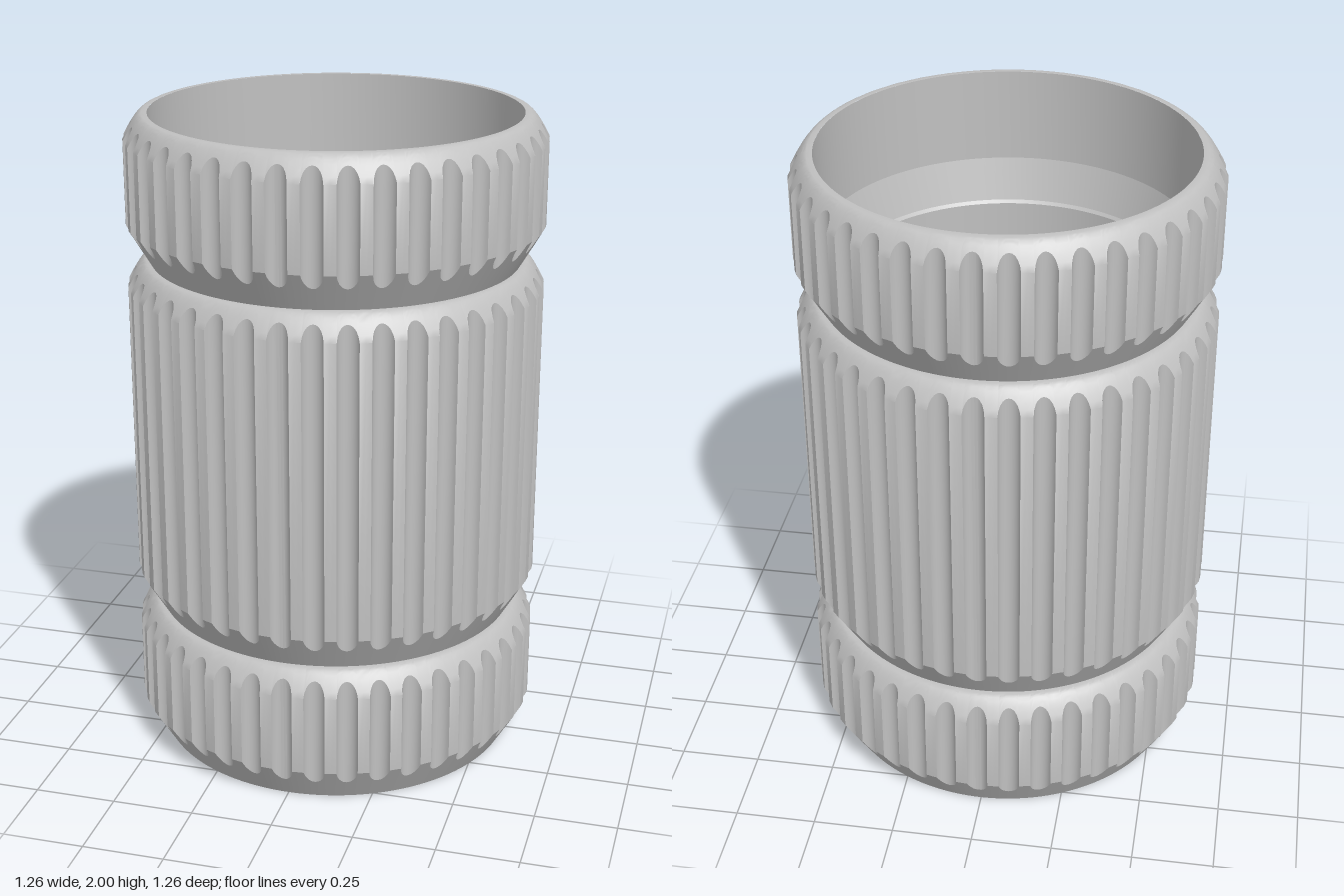
import * as THREE from 'three';
import { toCreasedNormals } from 'three/addons/utils/BufferGeometryUtils.js';

const FLUTES = 40;
const OUTER = 0.632;      // radius of the lands between flutes
const FOOT = 0.562;       // radius at the bottom of each band's chamfer
const RIM = 0.575;        // radius where the rounded shoulder starts
const BORE = 0.558;       // inner radius at the mouth
const CREASE = 0.5;

// One pitch of the fluted outline as [angle, radius]: a scooped arc, then a land.
function flutePitch() {
  const scoop = 0.0325, centre = 0.6375, steps = 10, columns = [];
  for (let i = 0; i <= steps; i++) {
    const a = THREE.MathUtils.lerp(-1.37, 1.37, i / steps);
    const side = scoop * Math.sin(a), out = centre - scoop * Math.cos(a);
    columns.push([Math.atan2(side, out), Math.hypot(side, out)]);
  }
  columns.push([Math.PI / FLUTES, OUTER]);
  return columns;
}

// Band with a chamfered foot, fluted wall and rounded shoulder.
// The flutes run out where they meet the chamfer and the shoulder.
function bandGeometry(bottom, top) {
  const chamfer = 0.118, shoulder = 0.075, steps = 6;
  const footY = (r) => bottom + chamfer * (r - FOOT) / (OUTER - FOOT);
  const shoulderY = (r) => top - shoulder * Math.pow(Math.max(0, (r - RIM) / (OUTER - RIM)), 1.5);
  const pitch = flutePitch();
  const positions = [], indices = [];
  const rows = steps + 4;
  for (let f = 0; f < FLUTES; f++) {
    for (const [offset, r] of pitch) {
      const angle = f * 2 * Math.PI / FLUTES + offset;
      const profile = [[FOOT, bottom], [r, footY(r)]];
      for (let k = 0; k <= steps; k++) {
        const s = THREE.MathUtils.lerp(r, RIM, k / steps);
        profile.push([s, shoulderY(s)]);
      }
      profile.push([BORE, top]);
      for (const [s, y] of profile) positions.push(s * Math.sin(angle), y, s * Math.cos(angle));
    }
  }
  const columns = FLUTES * pitch.length;
  for (let i = 0; i < columns; i++) {
    const here = i * rows, next = ((i + 1) % columns) * rows;
    for (let j = 0; j < rows - 1; j++) {
      indices.push(here + j, next + j, next + j + 1, here + j, next + j + 1, here + j + 1);
    }
  }
  const geometry = new THREE.BufferGeometry();
  geometry.setAttribute('position', new THREE.Float32BufferAttribute(positions, 3));
  geometry.setIndex(indices);
  return toCreasedNormals(geometry, CREASE);
}

function latheGeometry(points) {
  const profile = points.map(([r, y]) => new THREE.Vector2(r, y));
  return toCreasedNormals(new THREE.LatheGeometry(profile, 128), 0.2);
}

export function createModel() {
  const group = new THREE.Group();
  const grey = new THREE.MeshStandardMaterial({ color: 0xc0c0c0 });
  grey.name = 'plain grey';

  const add = (name, geometry) => {
    const mesh = new THREE.Mesh(geometry, grey);
    mesh.name = name;
    group.add(mesh);
  };

  // Three stacked fluted bands
  add('lowerBand', bandGeometry(0, 0.445));
  add('middleBand', bandGeometry(0.445, 1.555));
  add('upperBand', bandGeometry(1.555, 2));

  // Flat underside
  const base = new THREE.CircleGeometry(FOOT, 128);
  base.rotateX(Math.PI / 2);
  add('base', base);

  // Hollow interior: straight mouth, tapered seat, narrower bore and floor
  add('interior', latheGeometry([
    [BORE, 2], [BORE, 1.71], [0.522, 1.58], [0.515, 1.57], [0.515, 0.08], [0, 0.08],
  ]));

  return group;
}
